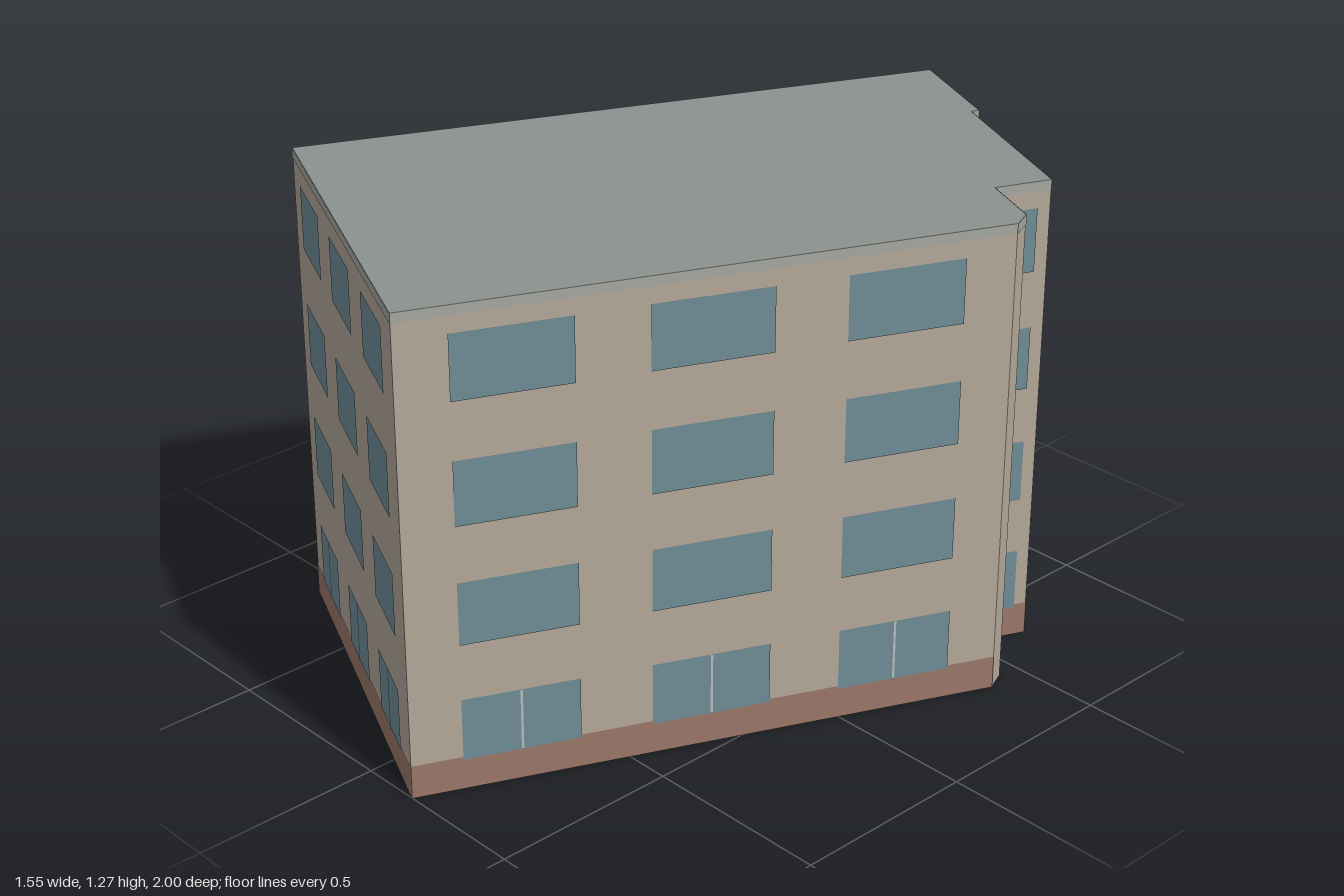
import * as THREE from 'three';

const HEIGHT = 1.275, PLINTH = 0.09, CORNICE = 1.25;

// Footprint corners [x, z], clockwise seen from above
const corners = [
  [-0.07, -1.0], [0.22, -0.87], [0.21, -0.85], [0.65, -0.65], [0.59, -0.51],
  [0.75, -0.44], [0.773, -0.385], [0.16, 1.0], [-0.775, 0.57],
];

// Per wall, in the order of the corners: window spans along the wall, extent of
// the plinth, and whether upper windows are split by a mullion
const longBays = [[0.085, 0.28], [0.4, 0.6], [0.72, 0.915]];
const walls = [
  { name: 'backWallNarrow', bays: [[0.23, 0.77]], plinth: 1, split: true },
  { name: 'backStep', bays: [], plinth: 1 },
  { name: 'backWallWide', bays: [[0.23, 0.77]], plinth: 1, split: true },
  { name: 'notchSideWall', bays: [[0.23, 0.77]], plinth: 1, split: true },
  { name: 'notchBackWall', bays: [[0.15, 0.61]], plinth: 0.75, split: true },
  { name: 'chamferWall', bays: [], plinth: 0 },
  { name: 'rightFacade', bays: longBays, plinth: 1 },
  { name: 'frontFacade', bays: longBays, plinth: 1 },
  { name: 'leftFacade', bays: longBays, plinth: 1 },
];
const floors = [[0.083, 0.25], [0.4, 0.568], [0.717, 0.886], [1.037, 1.206]];

const paint = (color) => new THREE.MeshStandardMaterial({ color, side: THREE.DoubleSide });

export function createModel() {
  const building = new THREE.Group();
  building.name = 'apartmentBlock';
  const wallMat = paint(0xb3a799), plinthMat = paint(0x9a7768), glassMat = paint(0x6f8c95);
  const mullionMat = paint(0xb4bdbb), roofMat = paint(0x8a928e), corniceMat = paint(0xa5a79f);

  walls.forEach((wall, i) => {
    const [ax, az] = corners[i], [bx, bz] = corners[(i + 1) % corners.length];
    const dx = bx - ax, dz = bz - az, length = Math.hypot(dx, dz);
    const nx = dz / length, nz = -dx / length;
    const group = new THREE.Group();
    group.name = wall.name;
    building.add(group);

    // Upright panel from fraction f0 to f1 of the wall, y0 to y1, set proud of it
    const panel = (name, material, f0, f1, y0, y1, proud) => {
      const mesh = new THREE.Mesh(new THREE.PlaneGeometry((f1 - f0) * length, y1 - y0), material);
      const f = (f0 + f1) / 2;
      mesh.position.set(ax + dx * f + nx * proud, (y0 + y1) / 2, az + dz * f + nz * proud);
      mesh.rotation.y = Math.atan2(nx, nz);
      mesh.name = name;
      group.add(mesh);
    };

    panel('wall', wallMat, 0, 1, 0, HEIGHT, 0);
    panel('cornice', corniceMat, 0, 1, CORNICE, HEIGHT, 0.0015);
    if (wall.plinth) panel('plinth', plinthMat, 0, wall.plinth, 0, PLINTH, 0.0015);

    // Windows on each floor, with a mullion where they are split
    for (const [f0, f1] of wall.bays) {
      floors.forEach(([y0, y1], floor) => {
        panel('window', glassMat, f0, f1, y0, y1, 0.003);
        const mid = (f0 + f1) / 2, half = 0.003 / length;
        if (floor === 0 || wall.split) panel('mullion', mullionMat, mid - half, mid + half, y0, y1, 0.0045);
      });
    }
  });

  // Flat roof over the whole footprint
  const outline = new THREE.Shape(corners.map(([x, z]) => new THREE.Vector2(x, -z)));
  const roof = new THREE.Mesh(new THREE.ShapeGeometry(outline), roofMat);
  roof.rotation.x = -Math.PI / 2;
  roof.position.y = HEIGHT;
  roof.name = 'roof';
  building.add(roof);

  return building;
}
